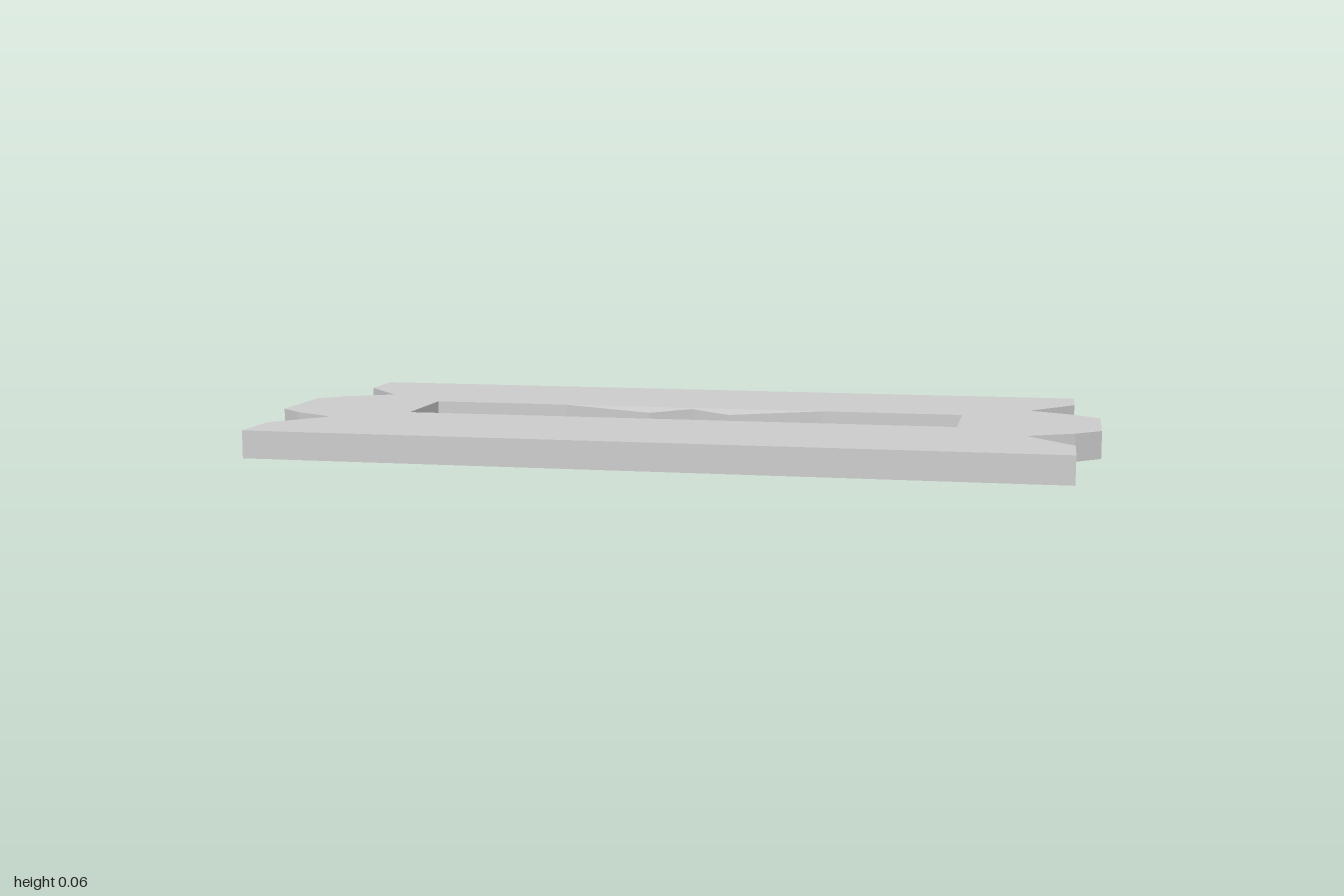
import * as THREE from 'three';

const THICK = 0.065;
const SLOT_X = 0.67, SLOT_Z = 0.108;

const toShape = (pts) => new THREE.Shape(pts.map(([x, y]) => new THREE.Vector2(x, y)));

// Extrude an x/z outline upwards from y = 0
function slab(shape) {
  const geo = new THREE.ExtrudeGeometry(shape, { depth: THICK, bevelEnabled: false });
  return geo.rotateX(-Math.PI / 2);
}

export function createModel() {
  const group = new THREE.Group();
  group.name = 'slottedBlade';
  const material = new THREE.MeshStandardMaterial({ color: 0xcccccc, flatShading: true });

  // Plate: one quarter of the notched outline, mirrored to all four corners
  const quarter = [[1, 0.108], [0.94, 0.163], [0.832, 0.223], [0.94, 0.352], [0.94, 0.489]];
  const mirror = (pts, sx, sy) => pts.map(([x, y]) => [x * sx, y * sy]);
  const reversed = [...quarter].reverse();
  const plate = toShape([
    ...quarter,
    ...mirror(reversed, -1, 1),
    ...mirror(quarter, -1, -1),
    ...mirror(reversed, 1, -1),
  ]);
  plate.holes.push(toShape([
    [-SLOT_X, -SLOT_Z], [-SLOT_X, SLOT_Z], [SLOT_X, SLOT_Z], [SLOT_X, -SLOT_Z],
  ]));
  const plateMesh = new THREE.Mesh(slab(plate), material);
  plateMesh.name = 'plate';
  group.add(plateMesh);

  // Paired teeth on each long side of the slot, thinning slightly to their tips
  const tooth = slab(toShape([
    [-0.33, -SLOT_Z], [0.33, -SLOT_Z], [0.1, -0.052], [0, -0.098], [-0.1, -0.052],
  ]));
  const pos = tooth.attributes.position;
  for (let i = 0; i < pos.count; i++) {
    const inset = 0.14 * (SLOT_Z - pos.getZ(i));
    const y = pos.getY(i);
    pos.setY(i, y > THICK / 2 ? y - inset : y + inset);
  }
  tooth.computeVertexNormals();
  ['frontTeeth', 'backTeeth'].forEach((name, i) => {
    const mesh = new THREE.Mesh(tooth, material);
    mesh.name = name;
    mesh.rotation.y = i * Math.PI;
    group.add(mesh);
  });

  return group;
}
